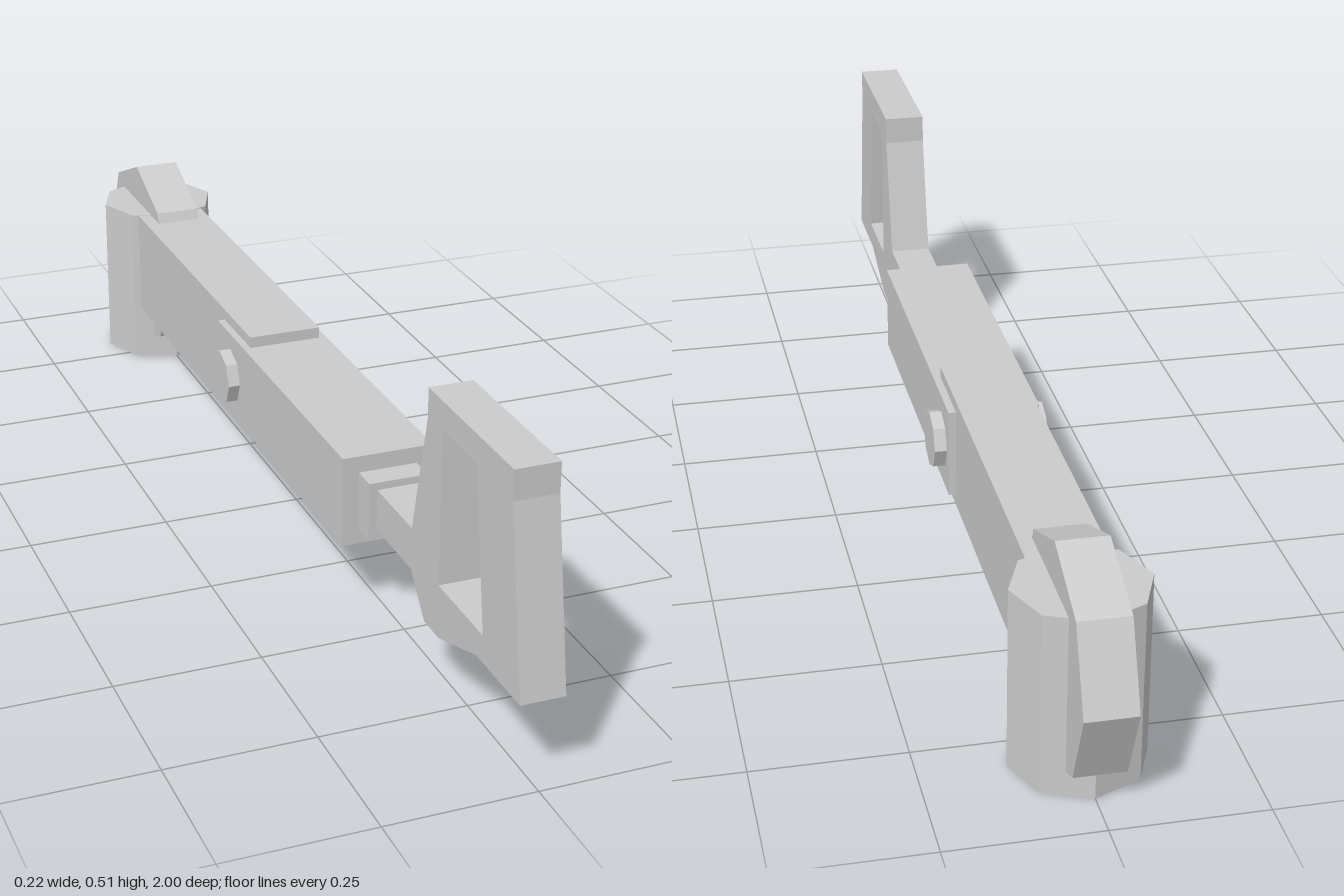
import * as THREE from 'three';

export function createModel() {
  const group = new THREE.Group();
  const material = new THREE.MeshStandardMaterial({ color: 0xcccccc, flatShading: true });

  const add = (name, geometry, x, y, z) => {
    const mesh = new THREE.Mesh(geometry, material);
    mesh.name = name;
    mesh.position.set(x, y, z);
    group.add(mesh);
    return mesh;
  };
  // Box centred on x = 0, given its half width and its y and z ranges
  const bar = (name, halfX, y0, y1, z0, z1) =>
    add(name, new THREE.BoxGeometry(halfX * 2, y1 - y0, z1 - z0), 0, (y0 + y1) / 2, (z0 + z1) / 2);
  const points = (list) => list.map(([z, y]) => new THREE.Vector2(z, y));

  // D-shaped grip: side profile with an open hand hole
  const gripShape = new THREE.Shape(points([
    [1, 0.155], [0.85, 0.155], [0.715, 0.11], [0.66, 0.11], [0.605, 0.175],
    [0.605, 0.247], [0.655, 0.46], [0.655, 0.51], [0.95, 0.51], [0.95, 0.46],
  ]));
  gripShape.holes.push(new THREE.Path(points([[0.87, 0.2], [0.83, 0.463], [0.71, 0.463], [0.71, 0.2]])));
  const gripWidth = 0.074;
  const grip = new THREE.ExtrudeGeometry(gripShape, { depth: gripWidth, bevelEnabled: false });
  grip.translate(0, 0, -gripWidth / 2).rotateY(-Math.PI / 2);
  add('grip', grip, 0, 0, 0);

  // Telescoping arm
  bar('gripShaft', 0.037, 0.175, 0.247, 0.44, 0.62);
  bar('collar', 0.051, 0.157, 0.26, 0.4, 0.465);
  bar('frontArm', 0.079, 0.13, 0.289, -0.197, 0.42);
  bar('rearArm', 0.066, 0.108, 0.309, -0.8, -0.057);

  // Octagonal pivot bolts on both sides
  for (const side of [1, -1]) {
    const bolt = new THREE.CylinderGeometry(0.051, 0.051, 0.04, 8).rotateZ(Math.PI / 2);
    add(side > 0 ? 'leftBolt' : 'rightBolt', bolt, side * 0.08, 0.208, -0.13);
  }

  // Upright octagonal head, crossed by an octagonal disc
  add('head', new THREE.CylinderGeometry(0.111, 0.111, 0.31, 8), 0, 0.155, -0.81);
  const disc = new THREE.CylinderGeometry(0.19, 0.19, 0.084, 8).rotateZ(Math.PI / 2);
  add('headDisc', disc, 0, 0.194, -0.81);

  return group;
}
